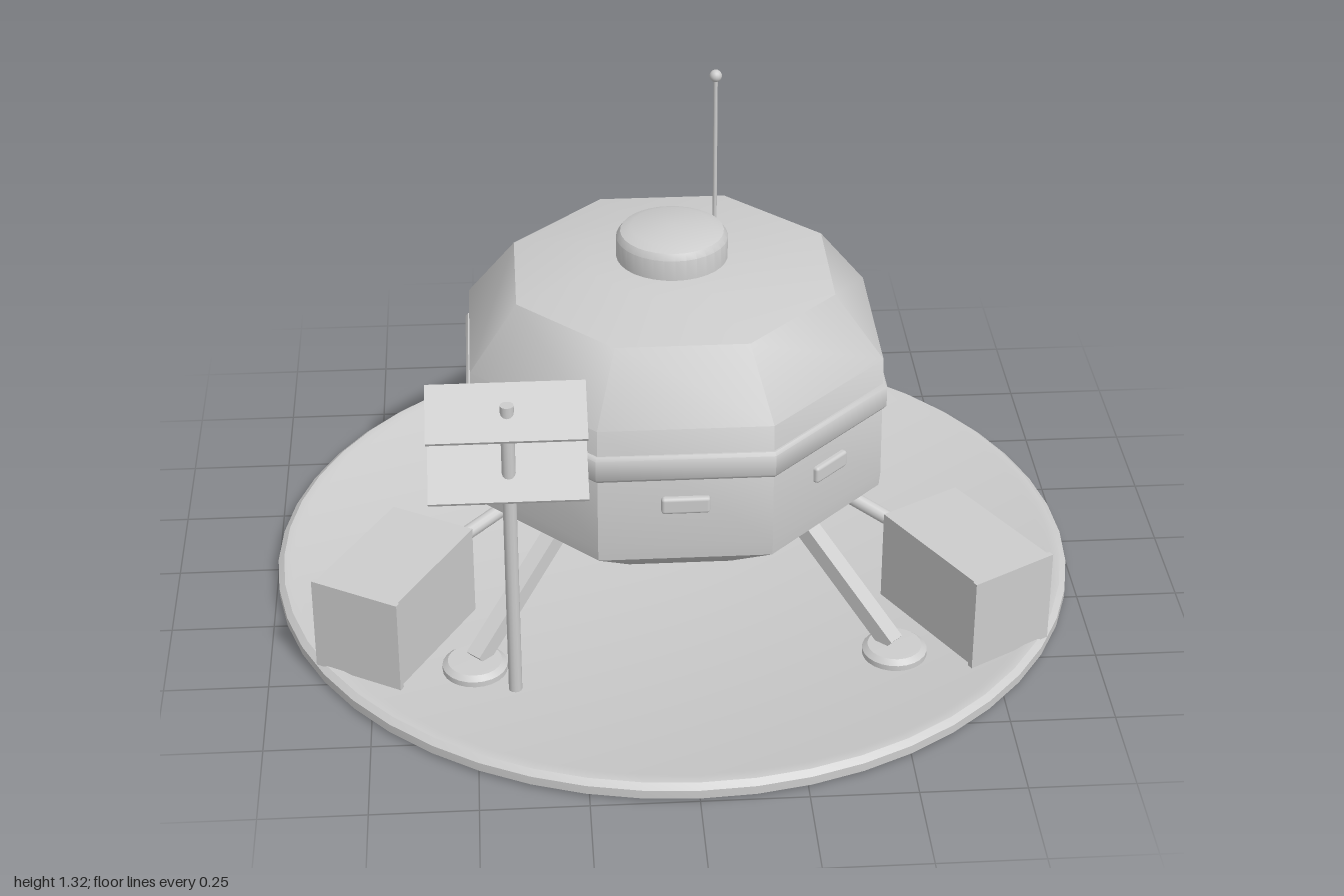
import * as THREE from 'three';
import { toCreasedNormals } from 'three/addons/utils/BufferGeometryUtils.js';
import { RoundedBoxGeometry } from 'three/addons/geometries/RoundedBoxGeometry.js';

const grey = new THREE.MeshStandardMaterial({ color: 0xcccccc });
grey.name = 'plain grey';

const V = (x, y, z) => new THREE.Vector3(x, y, z);

function part(parent, name, geometry, x = 0, y = 0, z = 0) {
  const mesh = new THREE.Mesh(geometry, grey);
  mesh.name = name;
  mesh.position.set(x, y, z);
  parent.add(mesh);
  return mesh;
}

// Turned solid from [radius, y] pairs listed bottom to top
function turned(profile, sides, crease = 0.6, start = 0) {
  const points = profile.map(([r, y]) => new THREE.Vector2(r, y));
  return toCreasedNormals(new THREE.LatheGeometry(points, sides, start), crease);
}

// Octagonal solid with flats on the x and z axes, sized by half-width
function octagon(profile) {
  const k = 1 / Math.cos(Math.PI / 8);
  return turned(profile.map(([r, y]) => [r * k, y]), 8, 0.7, Math.PI / 8);
}

// Beam of rectangular section between two points
function beam(parent, name, a, b, width, thick) {
  const mesh = part(parent, name, new THREE.BoxGeometry(width, thick, a.distanceTo(b)));
  mesh.position.copy(a).add(b).multiplyScalar(0.5);
  mesh.lookAt(b);
  return mesh;
}

// Round rod between two points
function rod(parent, name, a, b, radius) {
  const mesh = part(parent, name, new THREE.CylinderGeometry(radius, radius, a.distanceTo(b), 12));
  mesh.position.copy(a).add(b).multiplyScalar(0.5);
  mesh.quaternion.setFromUnitVectors(V(0, 1, 0), b.clone().sub(a).normalize());
  return mesh;
}

export function createModel() {
  const model = new THREE.Group();
  model.name = 'landerOutpost';

  // Ground disc with a raised rim
  part(model, 'platform', turned([
    [0, 0], [0.99, 0], [1, 0.008], [1, 0.03], [0.985, 0.042],
    [0.965, 0.042], [0.95, 0.036], [0, 0.036],
  ], 48));

  // Eight-sided cabin, belt and roof hatch
  part(model, 'cabin', octagon([
    [0, 0.18], [0.3, 0.18], [0.495, 0.325], [0.498, 0.36],
    [0.495, 0.68], [0.38, 0.835], [0.2, 0.872], [0, 0.875],
  ]));
  part(model, 'belt', octagon([
    [0.48, 0.545], [0.5, 0.545], [0.506, 0.553], [0.506, 0.605], [0.5, 0.613], [0.48, 0.613],
  ]));
  part(model, 'roofHatch', turned([
    [0.135, 0.86], [0.135, 0.925], [0.125, 0.94], [0.1, 0.95], [0, 0.953],
  ], 32));

  // Windows on every wall but the back one
  for (let i = 0; i < 8; i++) {
    if (i === 4) continue;
    const angle = i * Math.PI / 4;
    const pane = part(model, 'window', new RoundedBoxGeometry(0.115, 0.043, 0.03, 2, 0.008),
      Math.sin(angle) * 0.495, 0.477, Math.cos(angle) * 0.495);
    pane.rotation.y = angle;
  }

  // Aerial
  rod(model, 'aerial', V(0.11, 0.86, -0.092), V(0.11, 1.3, -0.092), 0.005);
  part(model, 'aerialTip', new THREE.SphereGeometry(0.015, 16, 12), 0.11, 1.3, -0.092);

  // Back door, hinge bar and boarding ramp
  part(model, 'door', new THREE.BoxGeometry(0.22, 0.335, 0.04), 0, 0.455, -0.502);
  const bar = part(model, 'doorBar', new THREE.CylinderGeometry(0.008, 0.008, 0.2, 10), 0, 0.632, -0.522);
  bar.rotation.z = Math.PI / 2;
  beam(model, 'ramp', V(0, 0.305, -0.51), V(0, 0.083, -0.845), 0.225, 0.014);

  // Splayed legs with round feet
  for (const sx of [-1, 1]) {
    for (const sz of [-1, 1]) {
      beam(model, 'leg', V(sx * 0.3, 0.285, sz * 0.3), V(sx * 0.5, 0.06, sz * 0.5), 0.042, 0.042);
      part(model, 'foot', turned([
        [0.078, 0.034], [0.078, 0.05], [0.065, 0.061], [0, 0.063],
      ], 24), sx * 0.505, 0, sz * 0.505);
    }
  }

  // Storage crates, turned outward, each piped to the cabin
  for (const side of [-1, 1]) {
    const crate = new THREE.Group();
    crate.name = 'crate';
    crate.position.set(side * 0.69, 0.157, 0.365);
    crate.rotation.y = side * Math.PI / 6;
    part(crate, 'crateBody', new THREE.BoxGeometry(0.222, 0.236, 0.295), 0, 0, 0.025);
    part(crate, 'crateInnerEnd', new THREE.BoxGeometry(0.222, 0.236, 0.06), 0, 0, -0.152);
    part(crate, 'crateOuterEnd', new THREE.BoxGeometry(0.234, 0.24, 0.014), 0, 0, 0.179);
    model.add(crate);
    rod(model, 'cratePipe', V(side * 0.38, 0.3, 0.16), V(side * 0.6, 0.215, 0.285), 0.018);
  }

  // Mast carrying two tilted panels
  rod(model, 'mast', V(-0.41, 0.03, 0.593), V(-0.41, 0.818, 0.593), 0.016);
  for (const y of [0.637, 0.797]) {
    const panel = part(model, 'solarPanel', new THREE.BoxGeometry(0.365, 0.008, 0.155), -0.412, y, 0.59);
    panel.rotation.x = 0.5;
  }

  return model;
}
